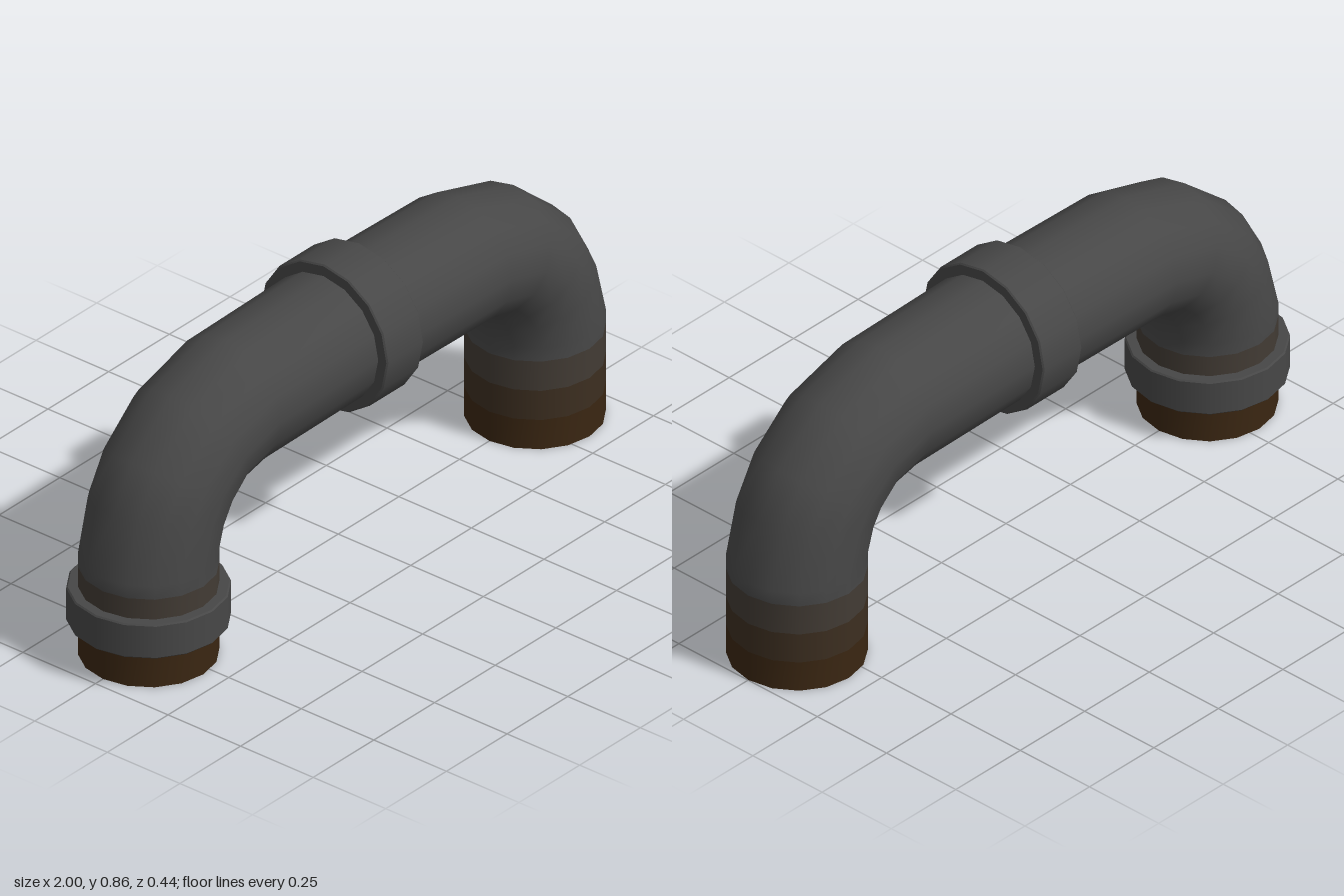
import * as THREE from 'three';

const SIDES = 16;
const RADIUS = 0.188;
const CENTRE_X = 0.015;
const COLORS = { rust: 0x3a2612, rustFade: 0x3c2e20, rustTrace: 0x423b34, iron: 0x474747 };

function material(color) {
  return new THREE.MeshStandardMaterial({ color, side: THREE.DoubleSide });
}

// Half of the bend: each ring is [outer x, outer y, inner x, inner y]
const halfRings = [
  ...[0, 0.09, 0.18, 0.27, 0.31].map((y) => [0.984, y, 0.608, y]),
  [0.94, 0.48, 0.59, 0.365],
  [0.866, 0.61, 0.565, 0.402],
  [0.705, 0.745, 0.535, 0.432],
  [0.478, 0.813, 0.475, 0.444],
  [0, 0.825, 0, 0.449],
];

// Whole pipe as one smooth tube, so the normals run on across the colour bands
function pipeGeometry(rings) {
  const positions = [];
  const indices = [];
  rings.forEach(([ox, oy, ix, iy], i) => {
    for (let j = 0; j < SIDES; j++) {
      const a = (j / SIDES) * Math.PI * 2;
      const c = Math.cos(a) / 2;
      positions.push((ox + ix) / 2 + (ox - ix) * c, (oy + iy) / 2 + (oy - iy) * c, RADIUS * Math.sin(a));
      if (i === rings.length - 1) continue;
      const k = (j + 1) % SIDES;
      const p = i * SIDES + j, q = i * SIDES + k;
      indices.push(p, p + SIDES, q, q, p + SIDES, q + SIDES);
    }
  });
  const geometry = new THREE.BufferGeometry();
  geometry.setAttribute('position', new THREE.Float32BufferAttribute(positions, 3));
  geometry.setIndex(indices);
  geometry.computeVertexNormals();
  return geometry;
}

// Cuts out the stretch of pipe between two rings
function pipeSection(geometry, from, to, name, color) {
  const section = geometry.clone();
  const index = Array.from(geometry.index.array);
  section.setIndex(index.slice(from * SIDES * 6, to * SIDES * 6));
  const mesh = new THREE.Mesh(section.toNonIndexed(), material(color));
  mesh.name = name;
  return mesh;
}

// Sleeve around the pipe with flat ends and slightly eased rims
function collar(name, length, radius) {
  const h = length / 2, e = 0.004;
  const strips = [
    [[RADIUS - 0.004, -h], [radius - e, -h]],
    [[radius - e, -h], [radius, -h + e]],
    [[radius, -h + e], [radius, h - e]],
    [[radius, h - e], [radius - e, h]],
    [[radius - e, h], [RADIUS - 0.004, h]],
  ];
  const group = new THREE.Group();
  group.name = name;
  const mat = material(COLORS.iron);
  for (const strip of strips) {
    const points = strip.map(([x, y]) => new THREE.Vector2(x, y));
    const mesh = new THREE.Mesh(new THREE.LatheGeometry(points, SIDES), mat);
    mesh.name = name + 'Face';
    group.add(mesh);
  }
  return group;
}

export function createModel() {
  const model = new THREE.Group();
  model.name = 'bentPipe';

  // Pipe: up the left leg, across, and down the right leg
  const mirrored = halfRings.slice(0, -1).reverse().map(([ox, oy, ix, iy]) => [-ox, oy, -ix, iy]);
  const rings = [...halfRings, ...mirrored];
  const geometry = pipeGeometry(rings);
  const pipe = new THREE.Group();
  pipe.name = 'pipe';
  const last = rings.length - 1;
  pipe.add(pipeSection(geometry, 3, last - 3, 'pipeBend', COLORS.iron));

  // Rust fading upwards from both open ends
  [COLORS.rust, COLORS.rustFade, COLORS.rustTrace].forEach((color, i) => {
    pipe.add(pipeSection(geometry, i, i + 1, 'leftRustBand' + (i + 1), color));
    pipe.add(pipeSection(geometry, last - i - 1, last - i, 'rightRustBand' + (i + 1), color));
  });
  pipe.position.x = CENTRE_X;
  model.add(pipe);

  // Collars: one at the middle of the span, one near the right foot
  const middle = collar('middleCollar', 0.15, 0.22);
  middle.rotation.z = Math.PI / 2;
  middle.position.set(CENTRE_X, 0.637, 0);
  const foot = collar('footCollar', 0.104, 0.219);
  foot.position.set(-0.781, 0.157, 0);
  model.add(middle, foot);

  return model;
}
